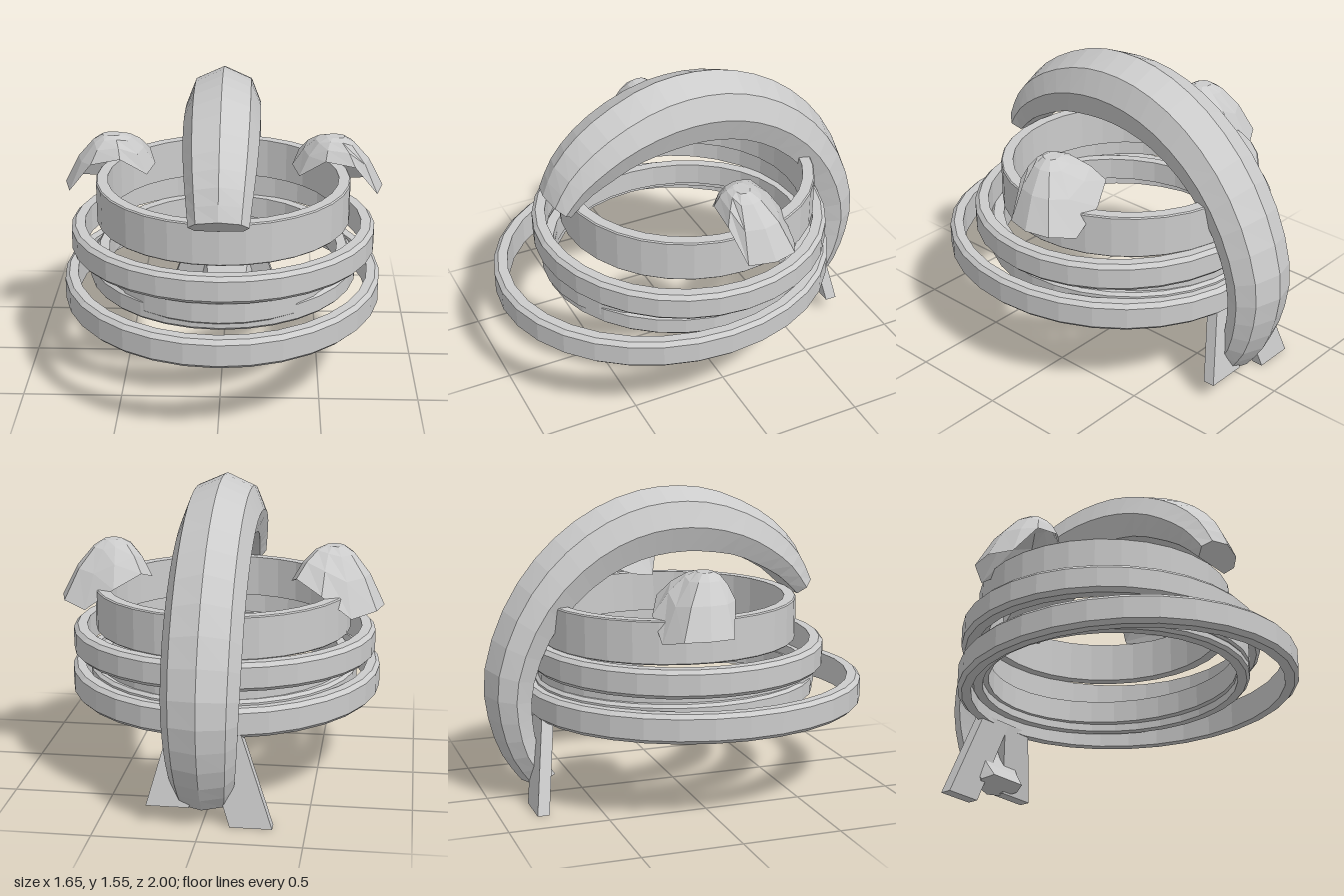
import * as THREE from 'three';

const material = new THREE.MeshStandardMaterial({ color: 0xcccccc, flatShading: true });
const shellMaterial = new THREE.MeshStandardMaterial({ color: 0xcccccc, flatShading: true, side: THREE.DoubleSide });

// Joins equal-length loops of [x, y, z] points; loops run clockwise seen along the path.
function loft(rings, capStart, capEnd) {
  const n = rings[0].length;
  const index = [];
  for (let i = 0; i < rings.length - 1; i++) {
    for (let k = 0; k < n; k++) {
      const a = i * n + k, b = i * n + (k + 1) % n;
      index.push(a, b, a + n, b, b + n, a + n);
    }
  }
  const last = (rings.length - 1) * n;
  for (let k = 1; k < n - 1; k++) {
    if (capStart) index.push(0, k + 1, k);
    if (capEnd) index.push(last, last + k, last + k + 1);
  }
  const geometry = new THREE.BufferGeometry();
  geometry.setAttribute('position', new THREE.Float32BufferAttribute(rings.flat(2), 3));
  geometry.setIndex(index);
  const flat = geometry.toNonIndexed();
  flat.computeVertexNormals();
  return flat;
}

// Oval band with bevelled outer rims
function band(name, y0, y1, rx, zFront, zBack, wall, bevel) {
  const inner = 1 - wall / rx, b = bevel / rx;
  const profile = [
    [inner, y0], [1 - b, y0], [1, y0 + bevel], [1, y1 - bevel],
    [1 - b, y1], [inner, y1], [inner, y0],
  ].map(([r, y]) => new THREE.Vector2(r, y));
  const geometry = new THREE.LatheGeometry(profile, 32);
  geometry.scale(rx, 1, (zFront - zBack) / 2);
  geometry.translate(0, 0, (zFront + zBack) / 2);
  const mesh = new THREE.Mesh(geometry, material);
  mesh.name = name;
  return mesh;
}

// Arched crest: stations of [outer z, outer y, inner z, inner y, half width]
function crest() {
  const stations = [
    [0.75, 1.06, 0.65, 0.975, 0.145],
    [0.69, 1.2, 0.55, 1.07, 0.16],
    [0.58, 1.33, 0.43, 1.14, 0.175],
    [0.42, 1.44, 0.3, 1.2, 0.185],
    [0.2, 1.53, 0.15, 1.23, 0.19],
    [0, 1.555, 0, 1.24, 0.19],
    [-0.2, 1.535, -0.15, 1.225, 0.19],
    [-0.41, 1.46, -0.3, 1.18, 0.19],
    [-0.61, 1.33, -0.46, 1.09, 0.19],
    [-0.79, 1.14, -0.61, 0.95, 0.19],
    [-0.93, 0.89, -0.72, 0.78, 0.19],
    [-1, 0.62, -0.785, 0.58, 0.185],
    [-0.975, 0.39, -0.785, 0.41, 0.175],
    [-0.91, 0.21, -0.75, 0.26, 0.16],
    [-0.82, 0.08, -0.67, 0.13, 0.14],
  ];
  const curve = (f) => new THREE.CatmullRomCurve3(stations.map((s) => new THREE.Vector3(...f(s))));
  const outer = curve(([z, y, , , w]) => [w, y, z]);
  const inner = curve(([, , z, y, w]) => [w, y, z]);
  // Cross-section: [share of half width, share of depth from ridge to underside]
  const section = [[0, 0], [0.74, 0.2], [1, 0.6], [0.78, 1], [-0.78, 1], [-1, 0.6], [-0.74, 0.2]];
  const rings = [];
  const steps = 26;
  for (let i = 0; i <= steps; i++) {
    const o = outer.getPoint(i / steps), p = inner.getPoint(i / steps);
    rings.push(section.map(([s, t]) => [s * o.x, o.y + (p.y - o.y) * t, o.z + (p.z - o.z) * t]));
  }
  const mesh = new THREE.Mesh(loft(rings, true, true), material);
  mesh.name = 'crest';
  return mesh;
}

// Faceted open cup over the side of the bands, its crown leaning forward
function sideCup(side) {
  const rim = [
    [0.355, 1.04, -0.1], [0.39, 1.08, -0.22], [0.52, 1.01, -0.285], [0.67, 0.9, -0.285],
    [0.79, 0.93, -0.22], [0.825, 0.935, -0.1], [0.79, 0.93, 0.03], [0.67, 1.09, 0.08],
    [0.52, 1.12, 0.08], [0.39, 1.02, 0.02],
  ];
  const ring = (spread, rise, cx, cz) => {
    const points = rim.map(([x, y, z]) => [
      side * (cx + (x - 0.59) * spread),
      y + (1.22 - y) * rise,
      cz + (z + 0.1) * spread,
    ]);
    return side < 0 ? points.reverse() : points;
  };
  const rings = [
    ring(0.2, 0.99, 0.57, -0.04),
    ring(0.42, 0.87, 0.57, -0.05),
    ring(0.72, 0.53, 0.58, -0.075),
    ring(1, 0, 0.59, -0.1),
  ];
  const mesh = new THREE.Mesh(loft(rings, true, false), shellMaterial);
  mesh.name = side > 0 ? 'leftCup' : 'rightCup';
  return mesh;
}

// Flat hanging tail, from x range at the top to x range at the bottom
function tail(name, top, bottom, yBottom) {
  const slab = ([x0, x1], y, z) => [
    [x0, y, z - 0.03], [x1, y, z - 0.03], [x1, y, z + 0.03], [x0, y, z + 0.03],
  ];
  const rings = [slab(top, 0.45, -0.72), slab(bottom, yBottom, -0.79)];
  const mesh = new THREE.Mesh(loft(rings, true, true), material);
  mesh.name = name;
  return mesh;
}

export function createModel() {
  const model = new THREE.Group();
  model.name = 'bandedHeadpiece';
  model.add(
    // Stacked bands
    band('topBand', 0.785, 1.0, 0.655, 0.63, -0.685, 0.06, 0.006),
    band('upperBand', 0.645, 0.787, 0.782, 0.772, -0.74, 0.07, 0.02),
    band('innerBand', 0.53, 0.65, 0.65, 0.745, -0.705, 0.06, 0.01),
    band('middleBand', 0.49, 0.597, 0.69, 0.73, -0.72, 0.06, 0.015),
    band('bottomBand', 0.425, 0.572, 0.807, 1.0, -0.775, 0.065, 0.02),
    crest(),
    sideCup(1),
    sideCup(-1),
    // Tails of the knot at the back
    tail('rightTail', [-0.18, 0.015], [-0.34, -0.135], 0),
    tail('leftTail', [-0.015, 0.17], [0.06, 0.27], 0.09),
  );
  return model;
}
